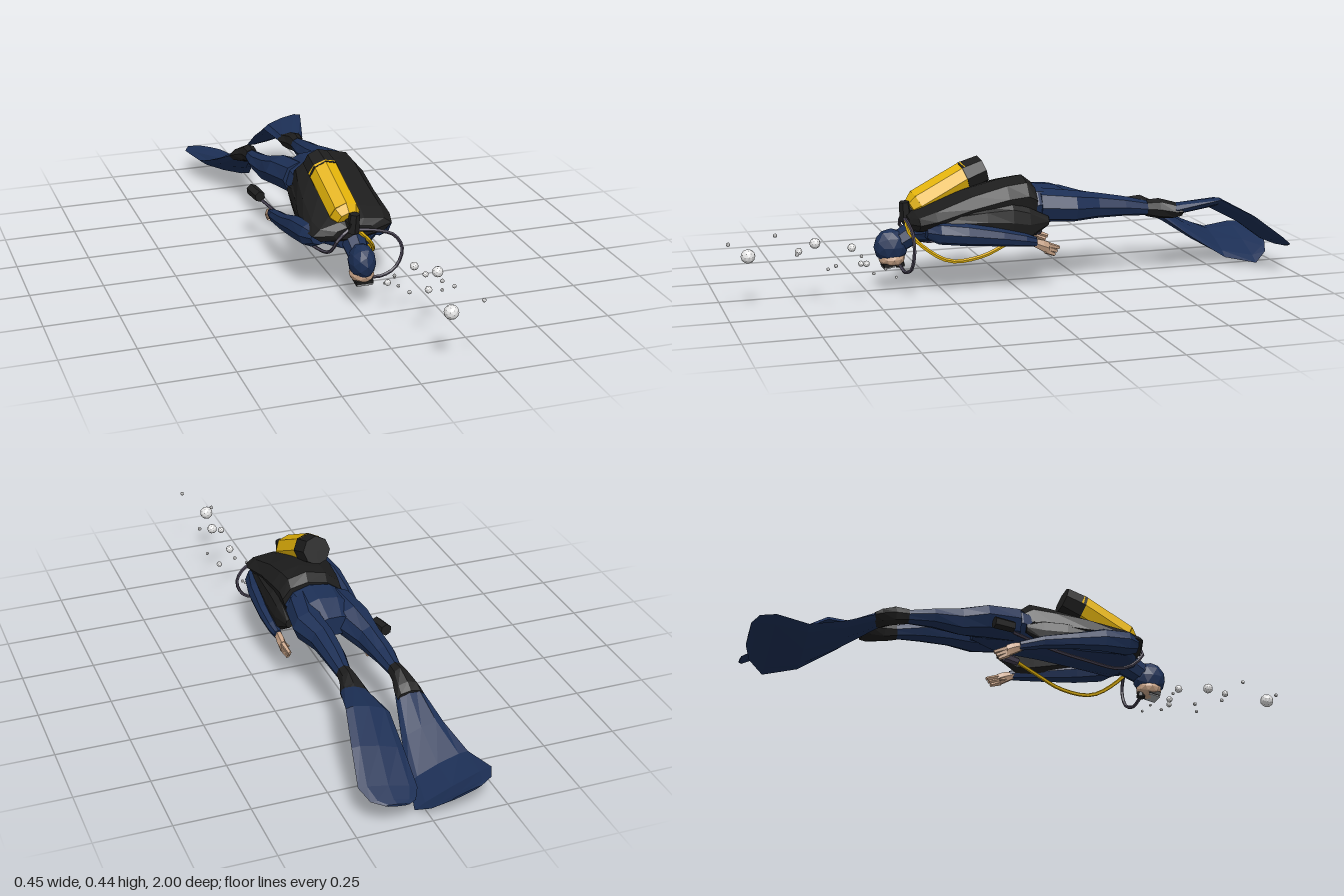
import * as THREE from 'three';

const mat = (name, color) => Object.assign(new THREE.MeshStandardMaterial({ color }), { name });

export function createModel() {
  const model = new THREE.Group();
  model.name = 'diver';
  const suit = mat('navy wetsuit', 0x1c2f55);
  const black = mat('black gear', 0x1d1d1d);
  const yellow = mat('yellow', 0xe2b20a);
  const skin = mat('skin', 0xc7a286);
  const hose = mat('hose grey', 0x484353);
  const bubble = mat('bubble white', 0xe6e6e6);
  const glass = mat('mask glass', 0xa4a6a8);

  // Flat facets: split the faces and recompute normals
  function add(name, geometry, material) {
    const g = geometry.index ? geometry.toNonIndexed() : geometry;
    g.computeVertexNormals();
    const mesh = new THREE.Mesh(g, material);
    mesh.name = name;
    model.add(mesh);
    return mesh;
  }

  // Rings run from front to back: [z, x, y, halfWidth, halfHeight, roll]
  function loft(name, rings, material, sides = 8) {
    const pos = [], idx = [];
    for (const [z, x, y, rx, ry, roll = 0] of rings) {
      for (let j = 0; j < sides; j++) {
        const a = (j / sides) * Math.PI * 2;
        const u = Math.cos(a) * rx, v = Math.sin(a) * ry;
        pos.push(x + u * Math.cos(roll) - v * Math.sin(roll), y + u * Math.sin(roll) + v * Math.cos(roll), z);
      }
    }
    const last = (rings.length - 1) * sides;
    for (let j = 0; j < sides; j++) {
      const k = (j + 1) % sides;
      for (let i = 0; i < last; i += sides) {
        idx.push(i + j, i + sides + j, i + k, i + k, i + sides + j, i + sides + k);
      }
      if (j > 0 && j < sides - 1) idx.push(0, j, k, last, last + k, last + j);
    }
    const g = new THREE.BufferGeometry();
    g.setAttribute('position', new THREE.Float32BufferAttribute(pos, 3));
    g.setIndex(idx);
    return add(name, g, material);
  }

  const V = (p) => new THREE.Vector3(...p);
  function tube(name, points, r, material) {
    const curve = new THREE.CatmullRomCurve3(points.map(V));
    return add(name, new THREE.TubeGeometry(curve, 18, r, 5), material);
  }
  // Cylinder between two points
  function rod(name, a, b, r0, r1, sides, material) {
    const A = V(a), B = V(b), d = B.clone().sub(A);
    const m = add(name, new THREE.CylinderGeometry(r1, r0, d.length(), sides), material);
    m.position.copy(A).add(B).multiplyScalar(0.5);
    m.quaternion.setFromUnitVectors(new THREE.Vector3(0, 1, 0), d.normalize());
    return m;
  }
  function blob(name, p, s, material) {
    const m = add(name, new THREE.IcosahedronGeometry(1, 1), material);
    m.position.set(...p);
    m.scale.set(...s);
    return m;
  }
  function box(name, p, s, material, rx) {
    const m = add(name, new THREE.BoxGeometry(...s), material);
    m.position.set(...p);
    m.rotation.x = rx;
    return m;
  }

  // Torso, hips and buoyancy vest
  loft('torso', [
    [0.35, 0.02, 0.205, 0.06, 0.035], [0.3, 0.015, 0.22, 0.12, 0.052], [0.15, 0.02, 0.235, 0.11, 0.06, 0.1],
    [0.02, 0.03, 0.258, 0.1, 0.066, 0.15], [-0.07, 0.033, 0.276, 0.115, 0.076, 0.15],
    [-0.15, 0.03, 0.277, 0.105, 0.066, 0.1], [-0.22, 0.025, 0.268, 0.075, 0.035]], suit, 10);
  loft('vest', [
    [0.365, 0.015, 0.238, 0.075, 0.022, 0.05], [0.345, 0.014, 0.24, 0.138, 0.036, 0.06],
    [0.29, 0.014, 0.248, 0.15, 0.05, 0.08], [0.16, 0.02, 0.272, 0.138, 0.07, 0.16],
    [0.04, 0.035, 0.292, 0.128, 0.08, 0.22], [-0.03, 0.042, 0.3, 0.116, 0.082, 0.22],
    [-0.06, 0.042, 0.288, 0.114, 0.07, 0.2]], black, 10);
  // Hanging side panels of the vest
  loft('leftVestPanel', [
    [0.26, 0.135, 0.25, 0.022, 0.025], [0.12, 0.146, 0.25, 0.026, 0.045], [0.03, 0.151, 0.243, 0.025, 0.062],
    [-0.03, 0.15, 0.232, 0.022, 0.055], [-0.1, 0.145, 0.237, 0.012, 0.016]], black);
  loft('rightVestPanel', [
    [0.2, -0.1, 0.235, 0.015, 0.025], [0.08, -0.085, 0.235, 0.02, 0.045], [0, -0.072, 0.238, 0.018, 0.045],
    [-0.06, -0.07, 0.245, 0.012, 0.016]], black);

  // Legs, boots and fins
  loft('rightLeg', [
    [-0.08, -0.03, 0.272, 0.06, 0.06], [-0.2, -0.05, 0.26, 0.066, 0.058], [-0.29, -0.073, 0.237, 0.042, 0.05],
    [-0.39, -0.084, 0.23, 0.038, 0.033], [-0.5, -0.085, 0.22, 0.021, 0.022]], suit);
  loft('leftLeg', [
    [-0.08, 0.09, 0.282, 0.06, 0.06], [-0.2, 0.11, 0.274, 0.056, 0.055], [-0.29, 0.092, 0.267, 0.043, 0.045],
    [-0.39, 0.09, 0.258, 0.037, 0.035], [-0.5, 0.092, 0.243, 0.022, 0.024]], suit);
  loft('rightBoot', [
    [-0.475, -0.085, 0.223, 0.025, 0.027], [-0.52, -0.085, 0.22, 0.029, 0.034],
    [-0.57, -0.09, 0.2, 0.045, 0.03], [-0.595, -0.092, 0.188, 0.047, 0.022]], black);
  loft('leftBoot', [
    [-0.475, 0.092, 0.246, 0.025, 0.029], [-0.52, 0.093, 0.242, 0.03, 0.036],
    [-0.57, 0.096, 0.234, 0.045, 0.03], [-0.595, 0.098, 0.234, 0.047, 0.022]], black);
  loft('rightFin', [
    [-0.57, -0.09, 0.197, 0.043, 0.022, -0.1], [-0.7, -0.09, 0.12, 0.074, 0.018, -0.28],
    [-0.82, -0.095, 0.06, 0.105, 0.013, -0.36], [-0.93, -0.095, 0.052, 0.137, 0.009, -0.38],
    [-0.98, -0.1, 0.068, 0.105, 0.006, -0.34], [-1.0, -0.105, 0.077, 0.055, 0.004, -0.3]], suit);
  loft('leftFin', [
    [-0.57, 0.097, 0.236, 0.044, 0.022, 0.1], [-0.72, 0.107, 0.255, 0.076, 0.016, 0.28],
    [-0.84, 0.12, 0.19, 0.09, 0.012, 0.26], [-0.94, 0.127, 0.115, 0.1, 0.008, 0.22],
    [-0.98, 0.125, 0.092, 0.075, 0.006, 0.18], [-0.995, 0.118, 0.085, 0.04, 0.004, 0.15]], suit);

  // Arms
  loft('rightArm', [
    [0.33, -0.095, 0.22, 0.03, 0.025], [0.29, -0.11, 0.218, 0.042, 0.043], [0.2, -0.13, 0.21, 0.032, 0.042],
    [0.1, -0.14, 0.19, 0.024, 0.031], [-0.02, -0.138, 0.168, 0.022, 0.024], [-0.1, -0.128, 0.148, 0.014, 0.017]], suit);
  loft('leftArm', [
    [0.32, 0.115, 0.222, 0.03, 0.025], [0.28, 0.135, 0.22, 0.042, 0.042], [0.19, 0.16, 0.212, 0.034, 0.04],
    [0.07, 0.173, 0.196, 0.025, 0.03], [-0.01, 0.172, 0.182, 0.021, 0.023], [-0.05, 0.168, 0.172, 0.014, 0.017]], suit);

  // Hands with slightly spread fingers
  function hand(side, x, y, z) {
    loft(side + 'Palm', [[z + 0.02, x, y + 0.008, 0.012, 0.014], [z - 0.025, x, y - 0.01, 0.015, 0.023],
      [z - 0.045, x, y - 0.018, 0.012, 0.022]], skin, 6);
    const inward = side === 'left' ? -1 : 1;
    for (let i = 0; i < 3; i++) {
      rod(side + 'Finger', [x, y - 0.006 - i * 0.012, z - 0.035],
        [x + inward * 0.01, y - 0.024 - i * 0.011, z - 0.085 + i * 0.008], 0.01, 0.007, 5, skin);
    }
    rod(side + 'Thumb', [x, y - 0.01, z - 0.01], [x + inward * 0.022, y - 0.026, z - 0.04], 0.008, 0.005, 5, skin);
  }
  hand('right', -0.125, 0.144, -0.1);
  hand('left', 0.166, 0.167, -0.05);

  // Neck, hood, face, mask and mouthpiece
  rod('neck', [0.02, 0.205, 0.33], [0.02, 0.165, 0.4], 0.045, 0.036, 8, suit);
  blob('hood', [0.021, 0.157, 0.418], [0.045, 0.061, 0.06], suit);
  blob('face', [0.021, 0.115, 0.416], [0.042, 0.03, 0.046], skin);
  box('maskFrame', [0.021, 0.097, 0.428], [0.06, 0.014, 0.042], black, 0.2);
  box('maskGlass', [0.021, 0.0885, 0.429], [0.054, 0.006, 0.038], glass, 0.2);
  rod('mouthpiece', [0.021, 0.11, 0.39], [0.021, 0.084, 0.386], 0.014, 0.016, 8, black);

  // Air tank, base boot and valve
  rod('tank', [-0.004, 0.289, 0.318], [-0.018, 0.378, 0.14], 0.053, 0.053, 8, yellow);
  rod('tankShoulder', [-0.001, 0.276, 0.343], [-0.004, 0.289, 0.318], 0.036, 0.053, 8, yellow);
  rod('tankBoot', [-0.016, 0.37, 0.155], [-0.022, 0.395, 0.085], 0.055, 0.05, 8, black);
  rod('tankValve', [0.003, 0.27, 0.34], [0.006, 0.262, 0.375], 0.018, 0.018, 6, black);
  rod('regulatorBody', [0.008, 0.24, 0.362], [0.013, 0.305, 0.368], 0.022, 0.018, 6, black);

  // Hoses and gauge
  tube('breathingHose', [[0.015, 0.25, 0.37], [0.09, 0.238, 0.37], [0.15, 0.215, 0.372], [0.178, 0.165, 0.375],
    [0.155, 0.105, 0.38], [0.1, 0.082, 0.388], [0.03, 0.09, 0.39]], 0.006, hose);
  tube('inflatorHose', [[0.0, 0.255, 0.365], [-0.045, 0.225, 0.375], [-0.055, 0.175, 0.34], [-0.06, 0.145, 0.28],
    [-0.09, 0.145, 0.15], [-0.11, 0.16, 0.02], [-0.15, 0.185, -0.13]], 0.006, hose);
  tube('spareAirHose', [[0.02, 0.25, 0.365], [0.06, 0.21, 0.365], [0.095, 0.16, 0.32], [0.12, 0.115, 0.24],
    [0.12, 0.122, 0.13], [0.095, 0.155, 0.03], [0.06, 0.182, -0.06]], 0.007, yellow);
  rod('spareMouthpiece', [0.063, 0.18, -0.05], [0.05, 0.186, -0.1], 0.014, 0.017, 6, hose);
  rod('gauge', [-0.158, 0.2, -0.13], [-0.168, 0.204, -0.2], 0.02, 0.021, 6, black);

  // Rising bubbles: x, y, z, radius
  const bubbles = [
    [0.127, 0.182, 0.917, 0.024], [0.168, 0.22, 0.705, 0.018], [0.14, 0.19, 0.578, 0.014], [0.12, 0.185, 0.75, 0.012],
    [0.075, 0.115, 0.515, 0.011], [0.188, 0.146, 0.558, 0.01], [0.2, 0.243, 0.99, 0.007], [0.132, 0.246, 0.828, 0.007],
    [0.198, 0.194, 0.77, 0.007], [0.2, 0.138, 0.67, 0.006], [0.107, 0.124, 0.625, 0.007], [0.09, 0.146, 0.535, 0.006],
    [0.118, 0.091, 0.5, 0.006], [0.1, 0.068, 0.42, 0.005], [0.12, 0.104, 0.46, 0.005]];
  bubbles.forEach(([x, y, z, r]) => blob('bubble', [x, y, z], [r, r, r], bubble));

  return model;
}
